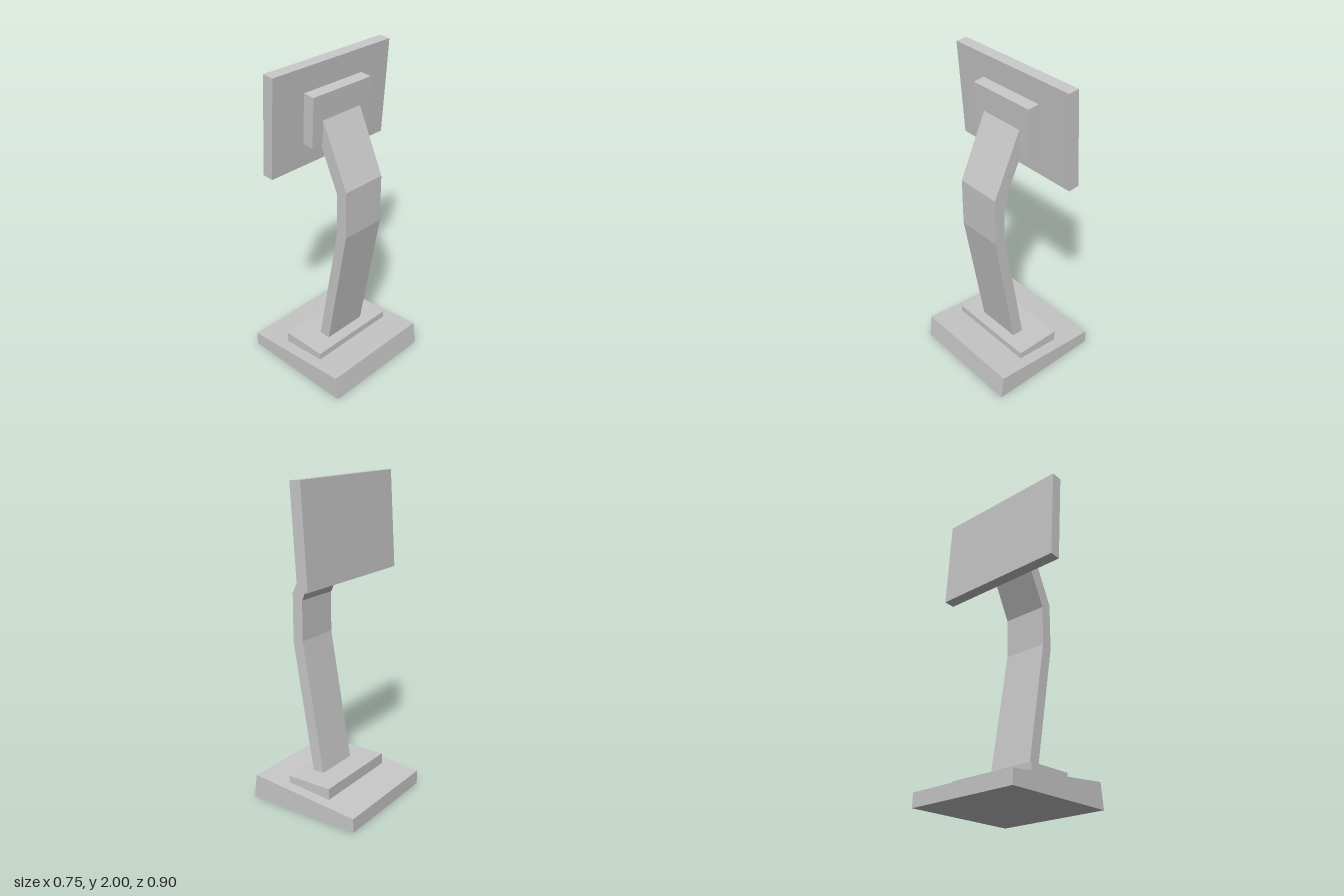
import * as THREE from 'three';

export function createModel() {
  const model = new THREE.Group();
  const grey = new THREE.MeshStandardMaterial({ color: 0xc8c8c8, flatShading: true });
  grey.name = 'lightGrey';

  // Extrudes a side profile (x, y) evenly to both sides of z = 0
  function addPart(name, width, profile) {
    const shape = new THREE.Shape(profile.map(([x, y]) => new THREE.Vector2(x, y)));
    const geometry = new THREE.ExtrudeGeometry(shape, { depth: width, bevelEnabled: false });
    geometry.translate(0, 0, -width / 2);
    const mesh = new THREE.Mesh(geometry, grey);
    mesh.name = name;
    model.add(mesh);
  }

  // Wedge-shaped foot
  addPart('base', 0.745, [[-0.377, 0], [0.375, 0], [0.356, 0.155], [-0.375, 0.088]]);

  // Level plate under the arm
  addPart('basePlate', 0.6, [[-0.15, 0.105], [0.15, 0.105], [0.15, 0.18], [-0.15, 0.18]]);

  // Bent arm, its upper end sunk into the mount
  addPart('arm', 0.296, [
    [0, 0.175], [0.075, 0.175], [0.22, 1.0], [0.22, 1.3],
    [0.041, 1.692], [0.02, 1.545], [0.15, 1.265], [0.15, 1.01],
  ]);

  // Tilted mount block behind the panel
  addPart('mount', 0.45, [[-0.037, 1.547], [0.036, 1.541], [0.05, 1.842], [-0.022, 1.849]]);

  // Tilted flat panel
  addPart('panel', 0.9, [[-0.123, 1.406], [-0.053, 1.4], [-0.012, 1.995], [-0.083, 2]]);

  return model;
}
